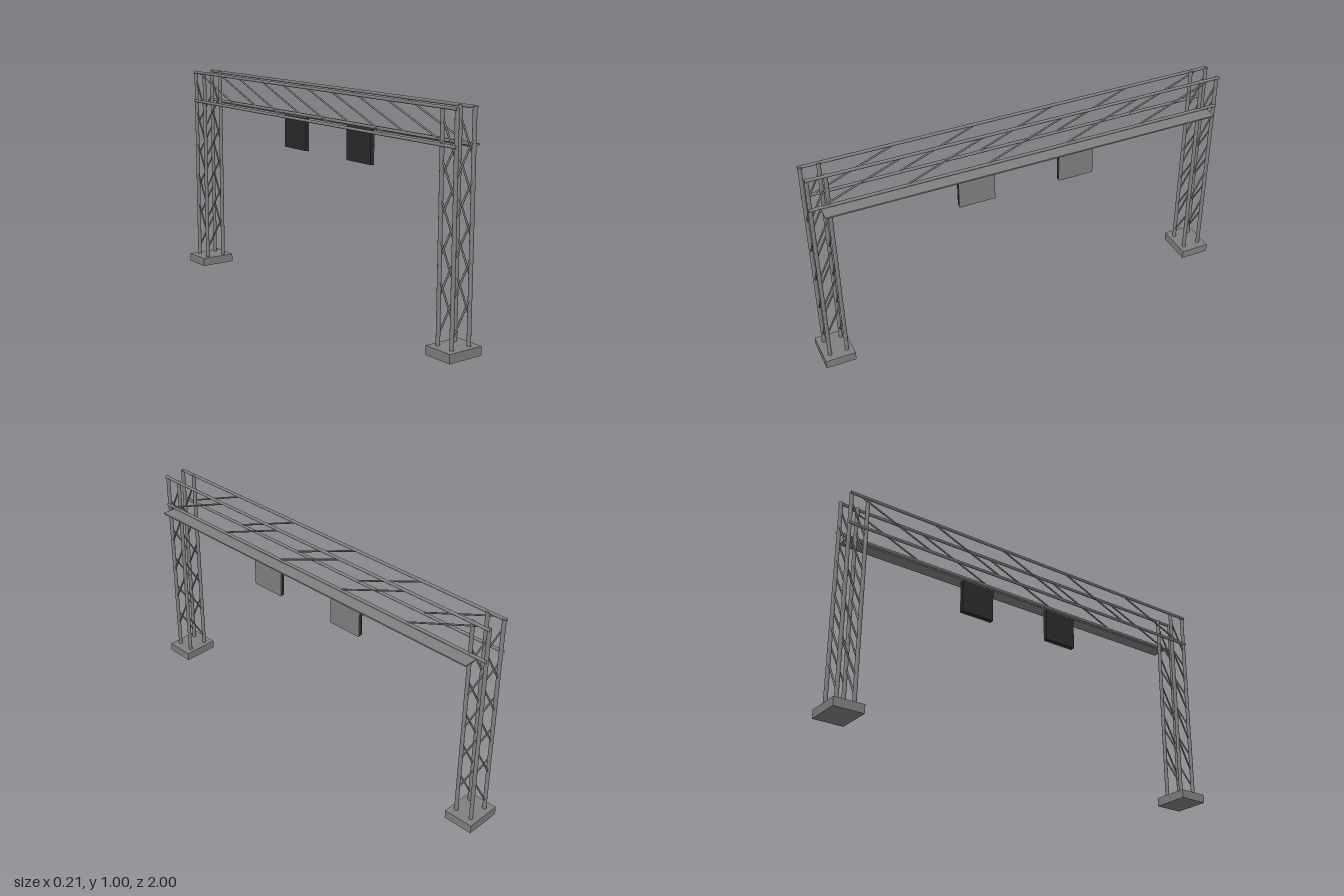
import * as THREE from 'three';

const steel = new THREE.MeshStandardMaterial({ color: 0x808080 });
steel.name = 'steel grey';
const dark = new THREE.MeshStandardMaterial({ color: 0x2a2a2a });
dark.name = 'dark housing';

const X0 = -0.065, X1 = 0.028;          // post lines across the gantry
const CX = (X0 + X1) / 2;
const LEG_Z = 0.928, HALF = 0.04;       // leg centre and half depth

// Round bar between two points
function bar(name, a, b, radius, sides = 12) {
  const start = new THREE.Vector3(...a), end = new THREE.Vector3(...b);
  const dir = end.clone().sub(start);
  const mesh = new THREE.Mesh(new THREE.CylinderGeometry(radius, radius, dir.length(), sides), steel);
  mesh.position.copy(start).add(end).multiplyScalar(0.5);
  mesh.quaternion.setFromUnitVectors(new THREE.Vector3(0, 1, 0), dir.normalize());
  mesh.name = name;
  return mesh;
}

// Box given by its lower and upper corners
function box(name, lo, hi, material) {
  const mesh = new THREE.Mesh(new THREE.BoxGeometry(hi[0] - lo[0], hi[1] - lo[1], hi[2] - lo[2]), material);
  mesh.position.set((lo[0] + hi[0]) / 2, (lo[1] + hi[1]) / 2, (lo[2] + hi[2]) / 2);
  mesh.name = name;
  return mesh;
}

// Lattice leg: footing, four posts and diagonals on all four faces
function leg(name, z) {
  const g = new THREE.Group();
  g.name = name;
  const side = Math.sign(z);
  g.add(box('footing', [CX - 0.086, 0, side * 0.93 - 0.07], [CX + 0.086, 0.04, side * 0.93 + 0.07], steel));
  const zs = [z + HALF, z - HALF];
  for (const x of [X0, X1])
    for (const pz of zs) g.add(bar('post', [x, 0.03, pz], [x, 1.0, pz], 0.009, 16));
  for (let i = 0; i < 5; i++) {
    const y = 0.08 + i * 0.16;
    for (const pz of zs) g.add(bar('crossBrace', [X0, y, pz], [X1, y + 0.16, pz], 0.004, 8));
    for (const x of [X0, X1]) g.add(bar('sideBrace', [x, y + 0.08, zs[0]], [x, y + 0.24, zs[1]], 0.004, 8));
  }
  return g;
}

// Overhead beam: four chords with diagonals on both sides
function beam() {
  const g = new THREE.Group();
  g.name = 'beam';
  const low = 0.85, high = 0.997, step = 0.372;
  for (const x of [X0 - 0.006, X1 + 0.006]) {
    for (const y of [low, high]) g.add(bar('chord', [x, y, -0.976], [x, y, 0.976], 0.007));
    for (let i = 0; i < 5; i++) {
      const z = 0.93 - i * step;
      g.add(bar('beamBrace', [x, low, z], [x, high, z - step], 0.004, 8));
    }
  }
  return g;
}

// Hanging sign: dark housing behind a grey face plate
function sign(z) {
  const g = new THREE.Group();
  g.name = 'sign';
  g.add(box('housing', [0.037, 0.682, z - 0.084], [0.054, 0.84, z + 0.084], dark));
  g.add(box('facePlate', [0.054, 0.679, z - 0.085], [0.057, 0.84, z + 0.085], steel));
  return g;
}

export function createModel() {
  const model = new THREE.Group();
  model.name = 'gantry';
  model.add(leg('frontLeg', LEG_Z), leg('backLeg', -LEG_Z), beam());
  model.add(box('walkway', [0.037, 0.838, -0.926], [0.102, 0.844, 0.926], steel));
  for (const z of [0.242, -0.238]) model.add(sign(z));
  return model;
}
